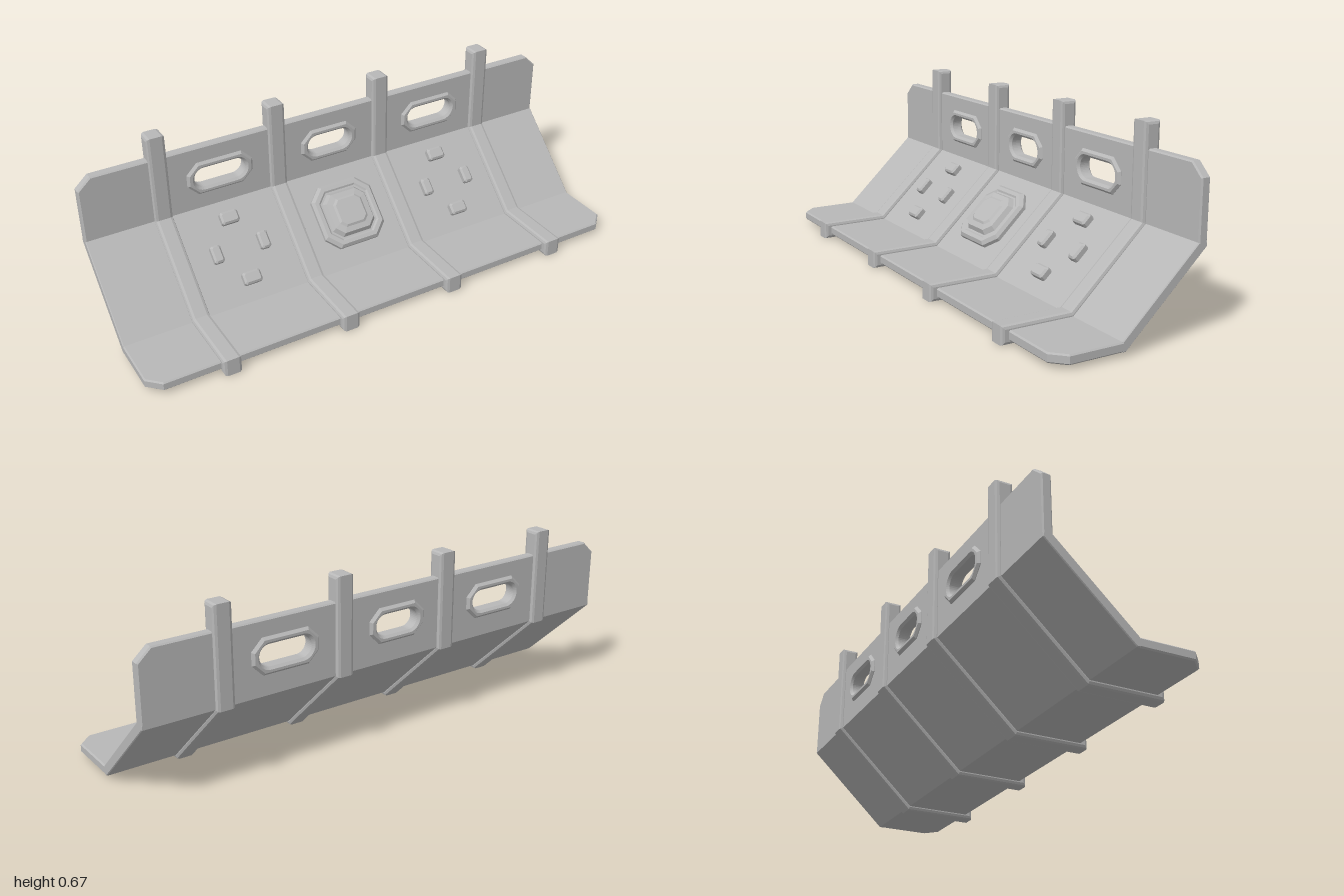
import * as THREE from 'three';

const grey = new THREE.MeshStandardMaterial({ color: 0xb8b8b8 });
grey.name = 'plain grey';

// Rectangle with cut corners, counter-clockwise: half width, half height, corner cut
const cutRect = (w, h, c) => [
  [w, -h + c], [w, h - c], [w - c, h], [-w + c, h],
  [-w, h - c], [-w, -h + c], [-w + c, -h], [w - c, -h],
];
const toShape = (pts) => new THREE.Shape(pts.map(([x, y]) => new THREE.Vector2(x, y)));

// Extrusion of total thickness `depth`, bevelled inward, starting at z = 0
function slab(shape, depth, bevel, segments = 1) {
  const g = new THREE.ExtrudeGeometry(shape, {
    depth: depth - 2 * bevel, bevelEnabled: true, bevelSize: bevel,
    bevelThickness: bevel, bevelOffset: -bevel, bevelSegments: segments, curveSegments: 10,
  });
  return g.translate(0, 0, bevel);
}

// Extrudes a (z, y) side profile along x, centred on x = 0
function sideProfile(pts, width, bevel, segments) {
  return slab(toShape(pts), width, bevel, segments)
    .translate(0, 0, -width / 2).rotateY(-Math.PI / 2);
}

// Stacks cut-corner rings [halfWidth, halfHeight, cut, z] into a closed, faceted boss
function stackedBoss(rings) {
  const pos = [];
  const loops = rings.map(([w, h, c, z]) => cutRect(w, h, c).map(([x, y]) => [x, y, z]));
  for (let r = 0; r < loops.length - 1; r++) {
    for (let i = 0; i < 8; i++) {
      const j = (i + 1) % 8;
      const [a, b] = [loops[r], loops[r + 1]];
      pos.push(...a[i], ...a[j], ...b[j], ...a[i], ...b[j], ...b[i]);
    }
  }
  const top = loops[loops.length - 1];
  for (let i = 0; i < 8; i++) pos.push(...top[i], ...top[(i + 1) % 8], 0, 0, top[0][2]);
  const g = new THREE.BufferGeometry();
  g.setAttribute('position', new THREE.Float32BufferAttribute(pos, 3));
  g.computeVertexNormals();
  return g;
}

// Rounded slot outline
function slot(path, cx, cy, w, h) {
  const r = h;
  path.absarc(cx + w - r, cy, r, -Math.PI / 2, Math.PI / 2, false);
  path.absarc(cx - w + r, cy, r, Math.PI / 2, Math.PI * 1.5, false);
  path.closePath();
  return path;
}

export function createModel() {
  const model = new THREE.Group();
  model.name = 'foldedPanel';
  const add = (name, geometry, parent = model) => {
    const m = new THREE.Mesh(geometry, grey);
    m.name = name;
    parent.add(m);
    return m;
  };

  const windows = [[-0.465, 0.133], [-0.003, 0.121], [0.465, 0.133]];
  const windowY = 0.453;

  // Floor plate with cut front corners
  add('floorPlate', slab(toShape([
    [-1, 0.026], [1, 0.026], [1, 0.232], [0.95, 0.281], [-0.95, 0.281], [-1, 0.232],
  ]), 0.035, 0.005).rotateX(Math.PI / 2).translate(0, 0.051, 0));

  // Sloping plate, including both bends
  add('slopePlate', sideProfile([
    [0.0325, 0.016], [0.0325, 0.051], [-0.257, 0.3255], [-0.293, 0.3255],
    [-0.293, 0.31], [0.0185, 0.016],
  ].reverse(), 2, 0.003));

  // Upright plate with cut top corners and slots
  const back = toShape([
    [-1, 0.319], [1, 0.319], [1, 0.535], [0.95, 0.581], [-0.95, 0.581], [-1, 0.535],
  ]);
  for (const [x, w] of windows) back.holes.push(slot(new THREE.Path(), x, windowY, w - 0.02, 0.05));
  add('uprightPlate', slab(back, 0.036, 0.005).translate(0, 0, -0.293));

  // Raised rims lining the slots
  for (const [x, w] of windows) {
    const rim = toShape(cutRect(w, 0.067, 0.043));
    rim.holes.push(slot(new THREE.Path(), 0, 0, w - 0.029, 0.04));
    add('slotRim', slab(rim, 0.057, 0.009).translate(x, windowY, -0.304));
  }

  // Ribs wrapping the whole bend
  const ribProfile = [
    [0.307, 0], [0.307, 0.067], [0.038, 0.067], [-0.243, 0.331],
    [-0.243, 0.674], [-0.307, 0.674], [-0.307, 0.304], [0.013, 0],
  ];
  const ribGeometry = sideProfile(ribProfile, 0.07, 0.012, 2);
  for (const x of [-0.702, -0.227, 0.227, 0.702]) add('rib', ribGeometry).position.x = x;

  // Details lying on the slope: local y runs up the slope, local z points out of it
  const onSlope = new THREE.Group();
  onSlope.name = 'slopeDetails';
  onSlope.position.set(0, 0.194, -0.118);
  onSlope.rotation.x = -Math.atan2(0.2895, 0.2745);
  model.add(onSlope);

  // Stepped central boss
  add('centreBoss', stackedBoss([
    [0.132, 0.128, 0.05, -0.01], [0.132, 0.128, 0.05, 0.014], [0.122, 0.118, 0.047, 0.026],
    [0.107, 0.103, 0.04, 0.026], [0.101, 0.097, 0.037, 0.021], [0.094, 0.09, 0.034, 0.021],
    [0.084, 0.08, 0.03, 0.039], [0.062, 0.059, 0.021, 0.042], [0.054, 0.051, 0.018, 0.048],
  ]), onSlope).position.x = -0.003;

  // Four small blocks around each side bay
  const block = (w, h) => stackedBoss([
    [w, h, 0.006, -0.01], [w, h, 0.006, 0.019], [w - 0.007, h - 0.007, 0.005, 0.026],
  ]);
  const wide = block(0.036, 0.024);
  const tall = block(0.02, 0.034);
  for (const x of [-0.467, 0.463]) {
    for (const s of [-1, 1]) {
      add('wideBlock', wide, onSlope).position.set(x, s * 0.121, 0);
      add('tallBlock', tall, onSlope).position.set(x + s * 0.096, 0, 0);
    }
  }
  return model;
}
